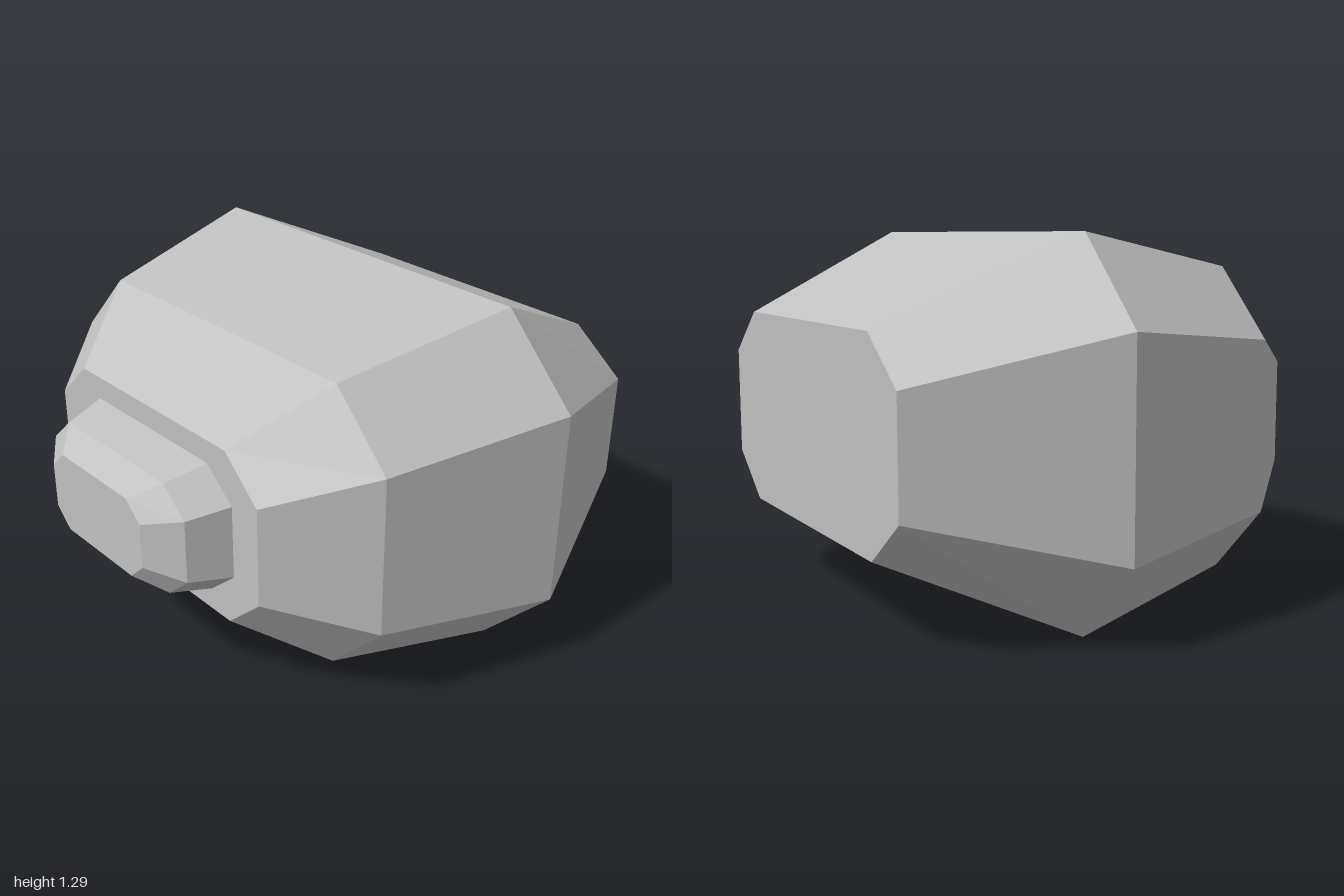
import * as THREE from 'three';

const CENTRE_Y = 0.65;

// Octagon with cut corners, counter-clockwise seen from the front
function octagon([z, w, wIn, h, hIn]) {
  return [
    [w, -hIn], [w, hIn], [wIn, h], [-wIn, h],
    [-w, hIn], [-w, -hIn], [-wIn, -h], [wIn, -h],
  ].map(([x, y]) => [x, CENTRE_Y + y, z]);
}

// Faceted solid through octagonal sections listed from back to front
function loft(sections) {
  const rings = sections.map(octagon);
  const pos = [];
  const tri = (a, b, c) => pos.push(...a, ...b, ...c);
  for (let r = 0; r < rings.length - 1; r++) {
    const back = rings[r], front = rings[r + 1];
    for (let i = 0; i < 8; i++) {
      const j = (i + 1) % 8;
      tri(back[i], back[j], front[j]);
      tri(back[i], front[j], front[i]);
    }
  }
  // Flat end caps
  const first = rings[0], last = rings[rings.length - 1];
  for (let i = 1; i < 7; i++) {
    tri(first[0], first[i + 1], first[i]);
    tri(last[0], last[i], last[i + 1]);
  }
  const geometry = new THREE.BufferGeometry();
  geometry.setAttribute('position', new THREE.Float32BufferAttribute(pos, 3));
  geometry.computeVertexNormals();
  return geometry;
}

export function createModel() {
  const group = new THREE.Group();
  group.name = 'facetedPod';
  const grey = new THREE.MeshStandardMaterial({ color: 0xc0c0c0, flatShading: true });
  grey.name = 'grey';

  // Each section: z, half width, half width of flat, half height, half height of flat
  const parts = {
    body: [
      [-0.912, 0.735, 0.53, 0.353, 0.196],
      [-0.265, 1.0, 0.72, 0.647, 0.356],
      [0.383, 0.823, 0.594, 0.529, 0.291],
      [0.677, 0.56, 0.405, 0.323, 0.18],
    ],
    nose: [
      [0.665, 0.434, 0.312, 0.24, 0.133],
      [0.677, 0.434, 0.312, 0.24, 0.133],
      [0.826, 0.384, 0.28, 0.207, 0.114],
      [0.912, 0.26, 0.19, 0.147, 0.081],
    ],
  };
  for (const [name, sections] of Object.entries(parts)) {
    const mesh = new THREE.Mesh(loft(sections), grey);
    mesh.name = name;
    group.add(mesh);
  }
  return group;
}
